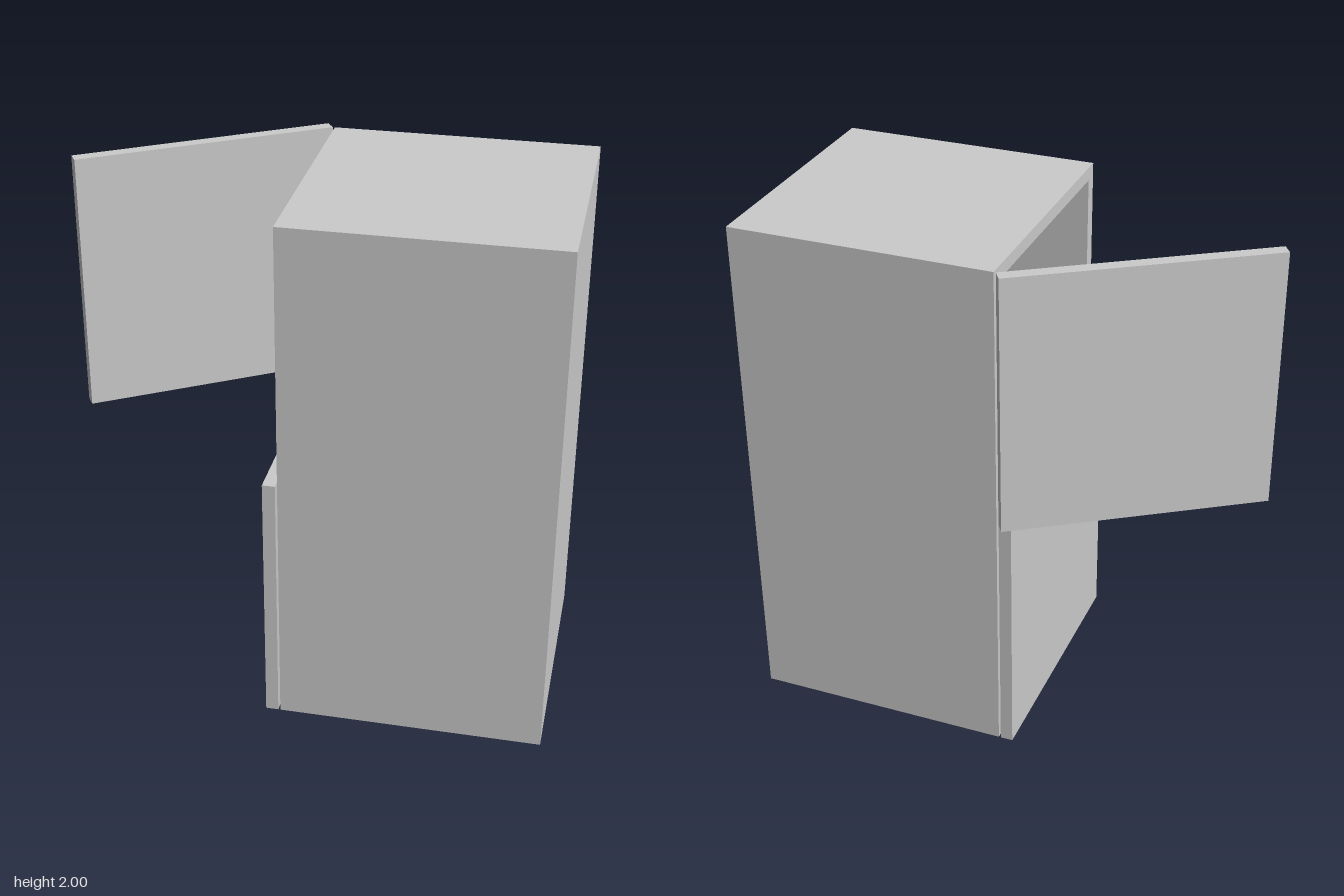
import * as THREE from 'three';

export function createModel() {
  const model = new THREE.Group();
  const material = new THREE.MeshStandardMaterial({ color: 0xcccccc, flatShading: true });
  const wall = 0.05, x0 = -0.064, x1 = 0.935, z0 = -0.48, z1 = 0.518;
  const hingeX = -0.072;

  // Box given by its minimum and maximum corners
  function panel(name, min, max, parent = model) {
    const size = max.map((v, i) => v - min[i]);
    const mesh = new THREE.Mesh(new THREE.BoxGeometry(...size), material);
    mesh.position.set(...min.map((v, i) => v + size[i] / 2));
    mesh.name = name;
    parent.add(mesh);
    return mesh;
  }

  // Hollow cabinet, open towards -x
  const cabinet = new THREE.Group();
  cabinet.name = 'cabinet';
  model.add(cabinet);
  panel('bottomPanel', [x0, 0, z0], [x1, wall, z1], cabinet);
  panel('topPanel', [x0, 2 - wall, z0], [x1, 2, z1], cabinet);
  panel('rearPanel', [x1 - wall, wall, z0], [x1, 2 - wall, z1], cabinet);
  panel('hingeSidePanel', [x0, wall, z0], [x1 - wall, 2 - wall, z0 + wall], cabinet);
  panel('latchSidePanel', [x0, wall, z1 - wall], [x1 - wall, 2 - wall, z1], cabinet);

  // Two stacked doors hinged on the same edge: lower closed, upper ajar
  function door(name, y, angle) {
    const hinge = new THREE.Group();
    hinge.name = name;
    hinge.position.set(hingeX, y, z0);
    hinge.rotation.y = -angle;
    panel(name + 'Panel', [-0.048, 0, 0], [0, 1, z1 - z0], hinge);
    model.add(hinge);
  }
  door('lowerDoor', 0, 0);
  door('upperDoor', 1, 1);

  return model;
}
